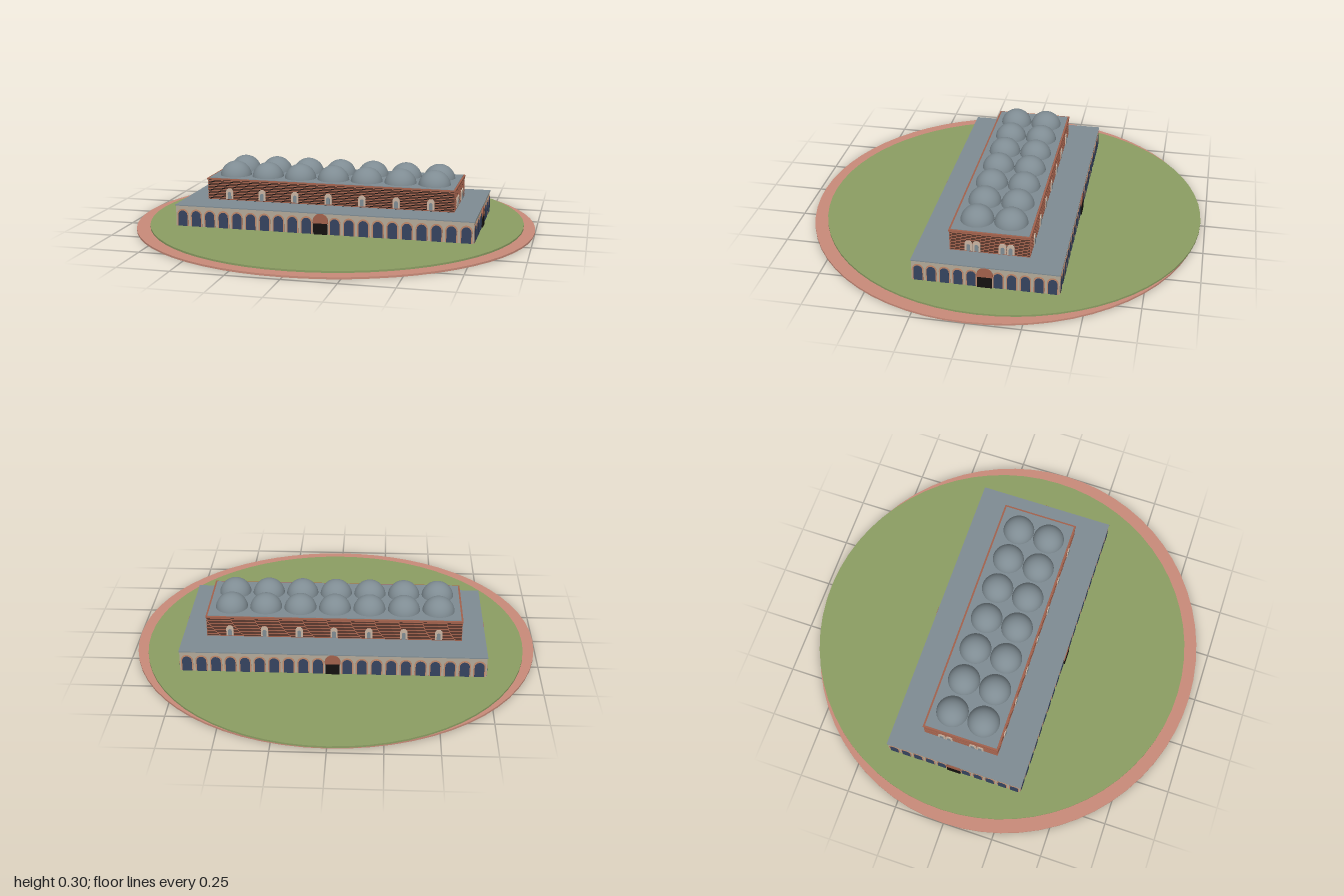
import * as THREE from 'three';

const mat = (name, color, side = THREE.FrontSide) => {
  const m = new THREE.MeshStandardMaterial({ color, side });
  m.name = name;
  return m;
};

const CZ = -0.035; // building axis in z

export function createModel() {
  const terracotta = mat('terracotta paving', 0xc98b79);
  const grass = mat('grass green', 0x8c9e63);
  const slate = mat('slate grey', 0x7f8c93);
  const stone = mat('beige stone', 0xb3a998);
  const navy = mat('navy glass', 0x35435f);
  const clay = mat('clay frame', 0xbf8a6c);
  const brick = mat('brick red', 0xa2614c);
  const dark = mat('dark', 0x14110f);
  const pale = mat('pale stone', 0xc9b4a2);

  const model = new THREE.Group();
  model.name = 'domedHall';

  const add = (parent, name, geo, material, x = 0, y = 0, z = 0) => {
    const m = new THREE.Mesh(geo, material);
    m.name = name;
    m.position.set(x, y, z);
    parent.add(m);
    return m;
  };
  // box given by its bottom height
  const box = (parent, name, material, w, h, d, y, z = CZ) =>
    add(parent, name, new THREE.BoxGeometry(w, h, d), material, 0, y + h / 2, z);

  // upright plate with a round-arched top, standing on y = 0
  const archPlate = (w, h, depth) => {
    const r = w / 2;
    const s = new THREE.Shape();
    s.moveTo(-r, 0);
    s.lineTo(r, 0);
    s.lineTo(r, h - r);
    s.absarc(0, h - r, r, 0, Math.PI, false);
    s.closePath();
    return new THREE.ExtrudeGeometry(s, { depth, bevelEnabled: false, curveSegments: 8 });
  };

  // ground discs
  const paving = add(model, 'paving', new THREE.CylinderGeometry(1, 1, 0.009, 64), terracotta, 0, 0.0045, 0);
  paving.scale.z = 0.969;
  add(model, 'lawn', new THREE.CylinderGeometry(0.942, 0.942, 0.009, 64), grass, 0, 0.0135, CZ);

  // lower storey
  const LX = 0.738, LZ = 0.343;
  box(model, 'lowerWalls', stone, LX * 2, 0.102, LZ * 2, 0.018);
  box(model, 'lowerRoof', slate, LX * 2 + 0.006, 0.005, LZ * 2 + 0.006, 0.119);

  // upper storey: dark core wrapped by thin brick courses
  const UX = 0.622, UZ = 0.187;
  box(model, 'upperCore', dark, UX * 2, 0.102, UZ * 2, 0.123);
  const courses = 12;
  for (let i = 0; i < courses; i++)
    box(model, 'brickCourse', brick, UX * 2 + 0.004, 0.0045, UZ * 2 + 0.004, 0.125 + i * 0.0083);
  box(model, 'cornice', brick, UX * 2 + 0.01, 0.008, UZ * 2 + 0.01, 0.224);
  box(model, 'upperRoof', slate, UX * 2 - 0.008, 0.003, UZ * 2 - 0.008, 0.231);

  // two rows of seven domes
  const domeGeo = new THREE.SphereGeometry(0.08, 32, 14, 0, Math.PI * 2, 0, Math.PI / 2);
  for (const z of [-0.08, 0.08])
    for (let i = -3; i <= 3; i++) add(model, 'dome', domeGeo, slate, i * 0.17, 0.224, CZ + z);

  // shared facade pieces
  const doorDisc = new THREE.CylinderGeometry(0.038, 0.038, 0.006, 28).rotateX(Math.PI / 2);
  const doorLeaf = new THREE.BoxGeometry(0.068, 0.054, 0.008);
  const windowFrame = archPlate(0.036, 0.054, 0.006);
  const windowPane = archPlate(0.018, 0.036, 0.007);

  const facade = (name, angle, half, lowDist, upDist, count, windows) => {
    const g = new THREE.Group();
    g.name = name;
    g.position.z = CZ;
    g.rotation.y = angle;
    model.add(g);

    // arcade with a doorway in the middle bay
    const bay = (half * 2) / count;
    const frame = archPlate(bay * 0.84, 0.086, 0.002);
    const pane = archPlate(bay * 0.66, 0.078, 0.0035);
    const mid = (count - 1) / 2;
    for (let i = 0; i < count; i++) {
      if (i === mid) continue;
      const x = (i - mid) * bay;
      add(g, 'archFrame', frame, clay, x, 0.018, lowDist);
      add(g, 'archWindow', pane, navy, x, 0.018, lowDist);
    }
    add(g, 'doorArch', doorDisc, brick, 0, 0.082, lowDist + 0.003);
    add(g, 'door', doorLeaf, dark, 0, 0.045, lowDist + 0.004);

    // upper windows
    for (const x of windows) {
      add(g, 'upperWindowFrame', windowFrame, pale, x, 0.13, upDist);
      add(g, 'upperWindowPane', windowPane, slate, x, 0.13, upDist);
    }
  };

  const longWindows = [-3, -2, -1, 0, 1, 2, 3].map((i) => i * 0.17);
  const shortWindows = [-0.099, -0.061, 0.061, 0.099];
  facade('frontFacade', 0, LX, LZ, UZ, 21, longWindows);
  facade('backFacade', Math.PI, LX, LZ, UZ, 21, longWindows);
  facade('leftFacade', Math.PI / 2, LZ, LX, UX, 11, shortWindows);
  facade('rightFacade', -Math.PI / 2, LZ, LX, UX, 11, shortWindows);

  return model;
}
